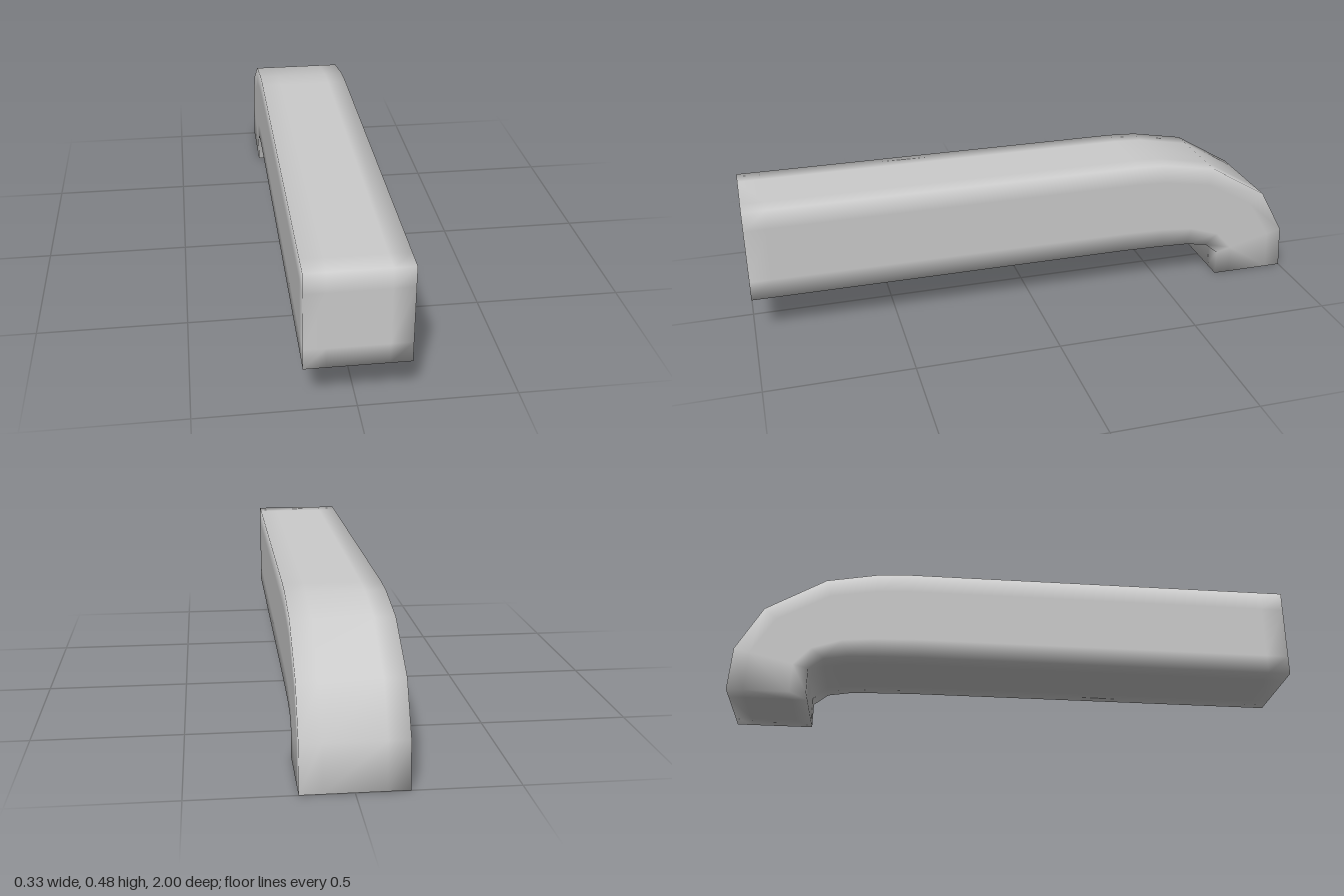
import * as THREE from 'three';
import { mergeVertices } from 'three/addons/utils/BufferGeometryUtils.js';

// Side profile stations from the front end to the foot: [outer z, outer y, inner z, inner y]
const STATIONS = [
  [1, 0.48, 1, 0.15],
  [0.92, 0.48, 0.92, 0.15],
  [-0.4, 0.48, -0.35, 0.15],
  [-0.5, 0.475, -0.5, 0.147],
  [-0.69, 0.44, -0.6, 0.143],
  [-0.9, 0.315, -0.68, 0.13],
  [-0.99, 0.155, -0.73, 0.09],
  [-1, 0, -0.73, 0],
];
const HALF_WIDTH = 0.165;
// Support loops close to the edges keep the middle of each side flat
const SPLITS = [0, 0.21, 0.79, 1];

export function createModel() {
  const n = STATIONS.length - 1;

  // A gridded box whose integer vertices are moved onto the bent bar
  let geometry = new THREE.BoxGeometry(3, 3, n, 3, 3, n);
  const pos = geometry.attributes.position;
  for (let i = 0; i < pos.count; i++) {
    const u = SPLITS[Math.round(pos.getX(i) + 1.5)];
    const v = SPLITS[Math.round(pos.getY(i) + 1.5)];
    const [oz, oy, iz, iy] = STATIONS[Math.round(n / 2 - pos.getZ(i))];
    pos.setXYZ(i, (u * 2 - 1) * HALF_WIDTH, iy + (oy - iy) * v, iz + (oz - iz) * v);
  }

  // Weld the six sides so the shading runs softly across the edges
  geometry.deleteAttribute('normal');
  geometry.deleteAttribute('uv');
  geometry = mergeVertices(geometry, 1e-4);
  geometry.computeVertexNormals();

  const bar = new THREE.Mesh(geometry, new THREE.MeshStandardMaterial({ color: 0xcccccc }));
  bar.name = 'bentBar';
  const group = new THREE.Group();
  group.name = 'armrest';
  group.add(bar);
  return group;
}
